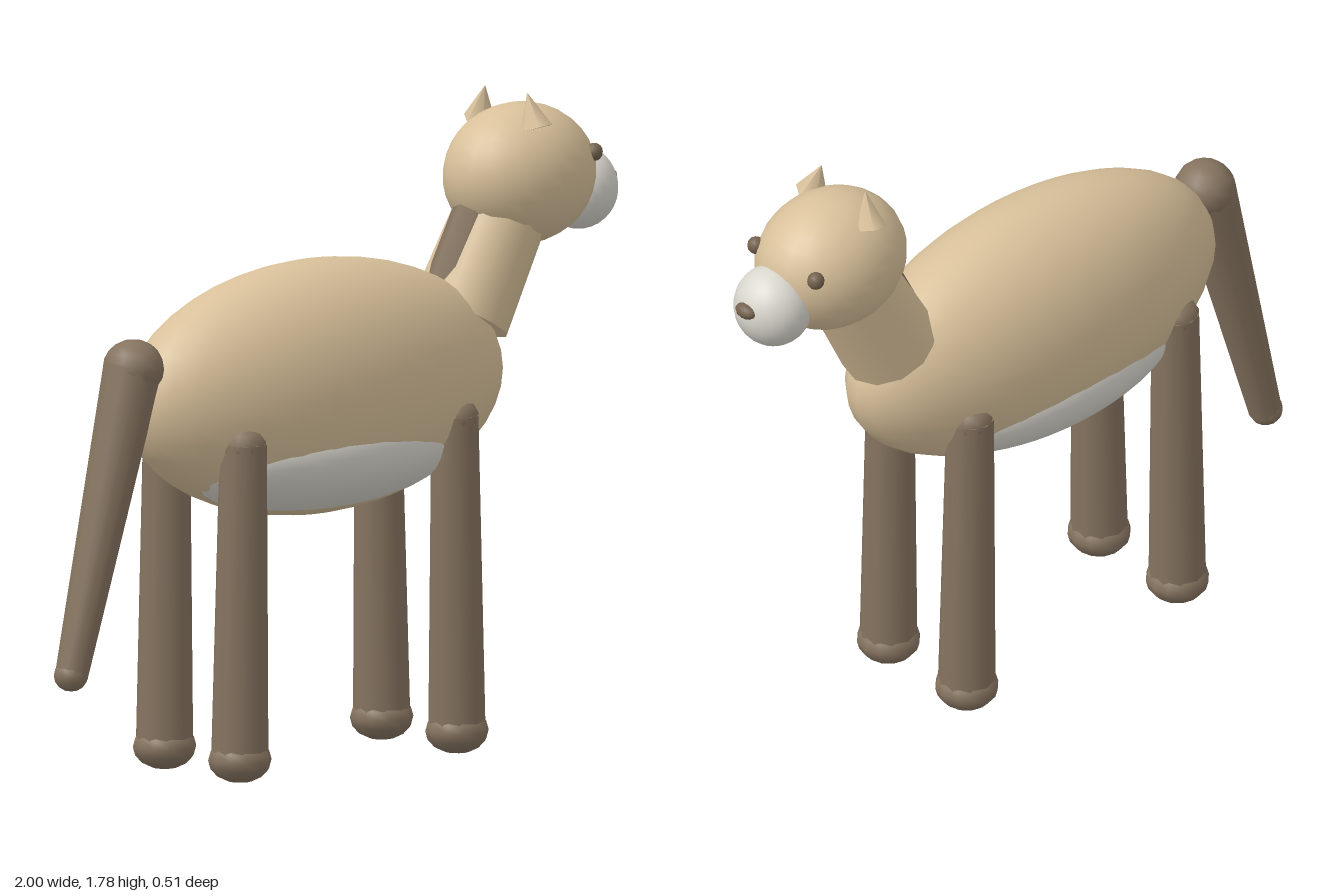
import * as THREE from 'three';

const material = (name, color) => {
  const m = new THREE.MeshStandardMaterial({ color });
  m.name = name;
  return m;
};

export function createModel() {
  const model = new THREE.Group();
  model.name = 'animal';
  const tan = material('tan fur', 0xd8c09a);
  const brown = material('brown fur', 0x85735f);
  const cream = material('cream fur', 0xdad7ce);
  const dark = material('dark brown', 0x75634f);

  function add(name, geometry, mat, position) {
    const mesh = new THREE.Mesh(geometry, mat);
    mesh.name = name;
    mesh.position.set(...position);
    model.add(mesh);
    return mesh;
  }

  function ellipsoid(name, mat, position, radii, segments = 24) {
    const geometry = new THREE.SphereGeometry(1, segments, Math.round(segments * 0.7));
    geometry.scale(...radii);
    return add(name, geometry, mat, position);
  }

  // Tapered limb between two points
  function limb(name, mat, from, to, rFrom, rTo, sides = 12) {
    const a = new THREE.Vector3(...from);
    const b = new THREE.Vector3(...to);
    const dir = b.clone().sub(a);
    const geometry = new THREE.CylinderGeometry(rTo, rFrom, dir.length(), sides);
    const mesh = add(name, geometry, mat, a.clone().add(b).multiplyScalar(0.5).toArray());
    mesh.quaternion.setFromUnitVectors(new THREE.Vector3(0, 1, 0), dir.normalize());
    return mesh;
  }

  // Body and belly patch
  ellipsoid('body', tan, [-0.08, 1.035, 0], [0.645, 0.35, 0.257], 32);
  ellipsoid('belly', cream, [-0.09, 0.87, 0], [0.5, 0.172, 0.242], 48);

  // Neck and the mane along its back
  limb('neck', tan, [0.445, 1.17, 0], [0.62, 1.49, 0], 0.14, 0.128);
  limb('mane', brown, [0.37, 1.17, 0], [0.53, 1.5, 0], 0.075, 0.065, 8);

  // Head, muzzle and nose
  ellipsoid('head', tan, [0.66, 1.545, 0], [0.227, 0.195, 0.186]);
  ellipsoid('muzzle', cream, [0.872, 1.485, 0], [0.108, 0.115, 0.11]);
  ellipsoid('nose', dark, [0.973, 1.51, 0], [0.023, 0.021, 0.035], 12);

  for (const side of [1, -1]) {
    ellipsoid('eye', dark, [0.825, 1.6, side * 0.12], [0.024, 0.025, 0.024], 12);
    const ear = limb('ear', tan, [0.62, 1.685, side * 0.118], [0.612, 1.78, side * 0.088], 0.047, 0.001, 6);
    ear.rotateY(Math.PI / 6);

    // Legs with pointed shoulders and rounded feet
    for (const [x, name] of [[0.3, 'frontLeg'], [-0.48, 'hindLeg']]) {
      const topX = x < 0 ? x + 0.01 : x - 0.01;
      limb(name, brown, [x, 0.07, side * 0.157], [topX, 0.935, side * 0.16], 0.08, 0.066, 10);
      ellipsoid(name + 'Shoulder', brown, [topX, 0.93, side * 0.16], [0.066, 0.055, 0.066], 10);
      ellipsoid(name + 'Foot', brown, [x, 0.065, side * 0.157], [0.088, 0.063, 0.088], 12);
    }
  }

  // Tail with rounded ends
  limb('tail', brown, [-0.95, 0.325, 0], [-0.73, 1.15, 0], 0.046, 0.082);
  ellipsoid('tailBase', brown, [-0.727, 1.15, 0], [0.084, 0.08, 0.086], 14);
  ellipsoid('tailTip', brown, [-0.951, 0.328, 0], [0.048, 0.045, 0.048], 12);

  return model;
}
